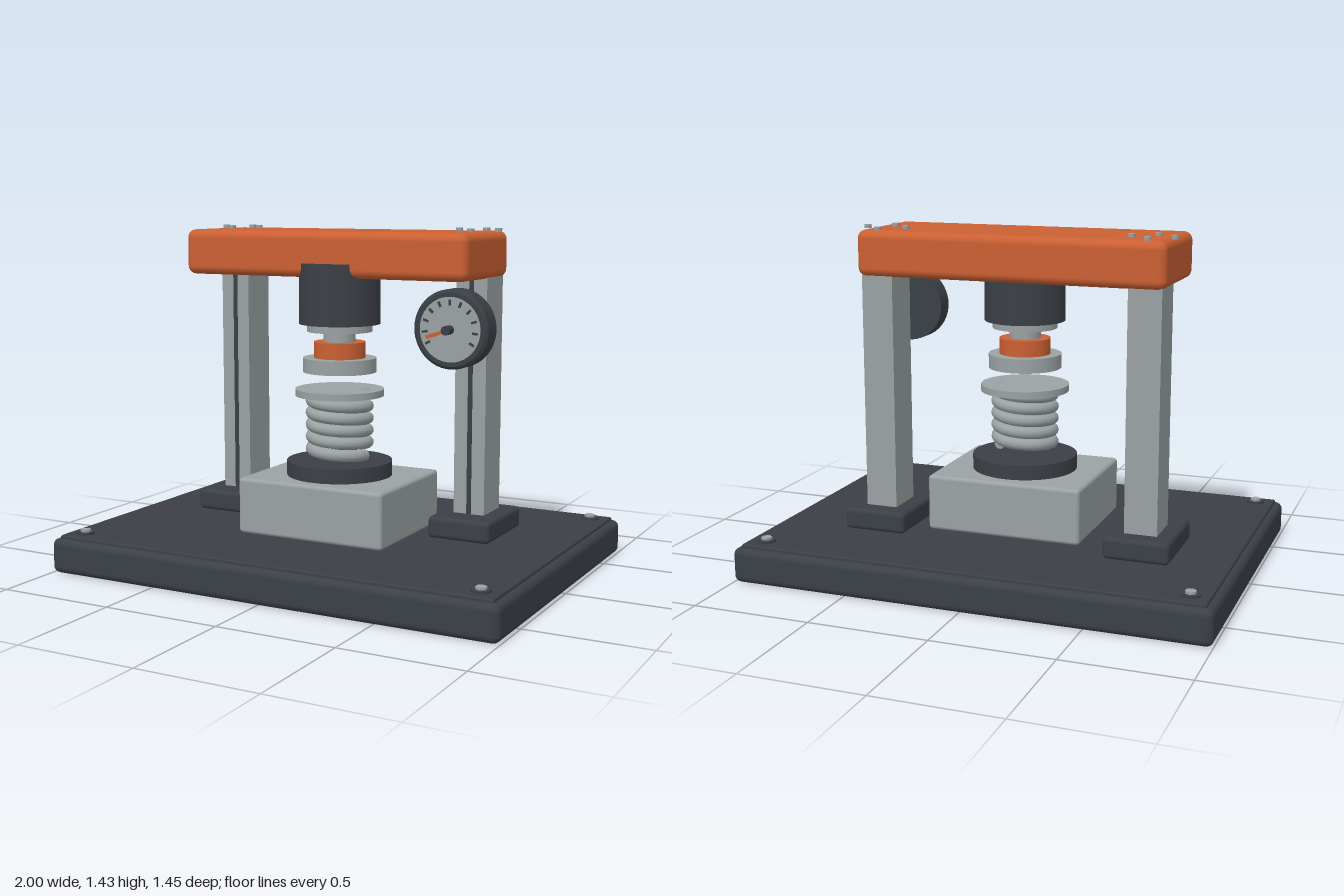
import * as THREE from 'three';
import { RoundedBoxGeometry } from 'three/addons/geometries/RoundedBoxGeometry.js';

const paint = (name, color) => {
  const m = new THREE.MeshStandardMaterial({ color });
  m.name = name;
  return m;
};

export function createModel() {
  const charcoal = paint('charcoal', 0x3b4046);
  const steel = paint('steel', 0x9ba2a4);
  const orange = paint('orange', 0xcb6033);

  const model = new THREE.Group();
  model.name = 'springTestPress';

  const add = (name, geometry, material, x, y, z, parent = model) => {
    const mesh = new THREE.Mesh(geometry, material);
    mesh.name = name;
    mesh.position.set(x, y, z);
    parent.add(mesh);
    return mesh;
  };
  // Rounded box between two heights
  const box = (name, mat, x, z, w, d, y0, y1, r) =>
    add(name, new RoundedBoxGeometry(w, y1 - y0, d, 3, r), mat, x, (y0 + y1) / 2, z);
  // Upright cylinder between two heights
  const disc = (name, mat, x, z, r, y0, y1, sides = 48) =>
    add(name, new THREE.CylinderGeometry(r, r, y1 - y0, sides), mat, x, (y0 + y1) / 2, z);

  // Base with a raised deck and corner bolts
  box('base', charcoal, 0, 0, 2, 1.45, 0, 0.147, 0.03);
  box('deck', charcoal, 0, 0, 1.94, 1.396, 0.13, 0.16, 0.008);
  for (const x of [-0.893, 0.893]) {
    for (const z of [-0.625, 0.625]) {
      disc('boltWasher', charcoal, x, z, 0.038, 0.158, 0.169, 24);
      disc('boltHead', steel, x, z, 0.023, 0.165, 0.179, 6);
    }
  }

  // Columns with feet, front slots and rings of beam screws
  for (const x of [-0.602, 0.535]) {
    box('columnFoot', charcoal, x, -0.171, 0.273, 0.365, 0.158, 0.25, 0.02);
    add('column', new THREE.BoxGeometry(0.136, 1.0, 0.17), steel, x, 0.74, -0.19);
    add('columnSlot', new THREE.BoxGeometry(0.02, 0.98, 0.004), charcoal, x, 0.74, -0.105);
    for (let i = 0; i < 4; i++) {
      const a = (i * Math.PI) / 2;
      disc('beamScrew', steel, x + 0.086 * Math.cos(a), -0.172 + 0.086 * Math.sin(a), 0.015, 1.418, 1.433, 12);
    }
  }

  // Crossbeam
  box('crossbeam', orange, -0.033, -0.068, 1.306, 0.456, 1.23, 1.42, 0.035);

  // Upper ram stack
  const cz = 0.034;
  disc('ramHousing', charcoal, 0, cz, 0.17, 1.035, 1.288);
  disc('ramCollar', steel, 0, cz, 0.137, 1.003, 1.035);
  disc('ramRod', steel, 0, cz, 0.067, 0.96, 1.003);
  disc('loadCell', orange, 0, cz, 0.108, 0.893, 0.96);
  disc('upperPlaten', steel, 0, cz, 0.154, 0.833, 0.893);

  // Lower stand
  box('pedestal', steel, 0, cz, 0.668, 0.555, 0.16, 0.396, 0.016);
  disc('pedestalDisc', charcoal, 0, cz, 0.223, 0.39, 0.458);
  disc('springPlate', steel, 0, cz, 0.187, 0.733, 0.762);

  // Coil spring
  const turns = 5;
  const points = [];
  for (let i = 0; i <= turns * 16; i++) {
    const t = i / 16;
    const a = t * Math.PI * 2;
    points.push(new THREE.Vector3(0.119 * Math.cos(a), 0.486 + (t * 0.257) / turns, 0.119 * Math.sin(a)));
  }
  const coil = new THREE.CatmullRomCurve3(points);
  add('spring', new THREE.TubeGeometry(coil, 240, 0.025, 12), steel, 0, 0, cz);
  [0, 1].forEach((t) => {
    const cap = add('springEnd', new THREE.CircleGeometry(0.025, 12), steel, 0, 0, cz);
    const p = coil.getPointAt(t);
    const dir = coil.getTangentAt(t).multiplyScalar(t ? 1 : -1);
    cap.position.add(p);
    cap.quaternion.setFromUnitVectors(new THREE.Vector3(0, 0, 1), dir);
  });

  // Dial gauge facing the front
  const gauge = new THREE.Group();
  gauge.name = 'gauge';
  gauge.position.set(0.586, 1.053, 0);
  model.add(gauge);
  const round = (name, mat, r, z0, z1, sides = 48) => {
    const m = add(name, new THREE.CylinderGeometry(r, r, z1 - z0, sides), mat, 0, 0, (z0 + z1) / 2, gauge);
    m.rotation.x = Math.PI / 2;
  };
  round('gaugeCase', charcoal, 0.156, 0.137, 0.218);
  const rim = add('gaugeRim', new THREE.CylinderGeometry(0.145, 0.156, 0.009, 48), charcoal, 0, 0, 0.2225, gauge);
  rim.rotation.x = Math.PI / 2;
  round('gaugeFace', steel, 0.127, 0.222, 0.23);
  // Radial bar on the dial
  const bar = (name, mat, angle, r0, r1, width, z) => {
    const r = (r0 + r1) / 2;
    const m = add(name, new THREE.BoxGeometry(r1 - r0, width, 0.006), mat,
      r * Math.cos(angle), r * Math.sin(angle), z, gauge);
    m.rotation.z = angle;
  };
  for (let i = 0; i <= 10; i++) {
    bar('gaugeTick', charcoal, THREE.MathUtils.degToRad(210 - i * 24), 0.095, 0.117, 0.009, 0.232);
  }
  bar('gaugeNeedle', orange, THREE.MathUtils.degToRad(199), 0, 0.1, 0.014, 0.242);
  round('gaugeHub', charcoal, 0.018, 0.228, 0.275, 24);

  return model;
}
